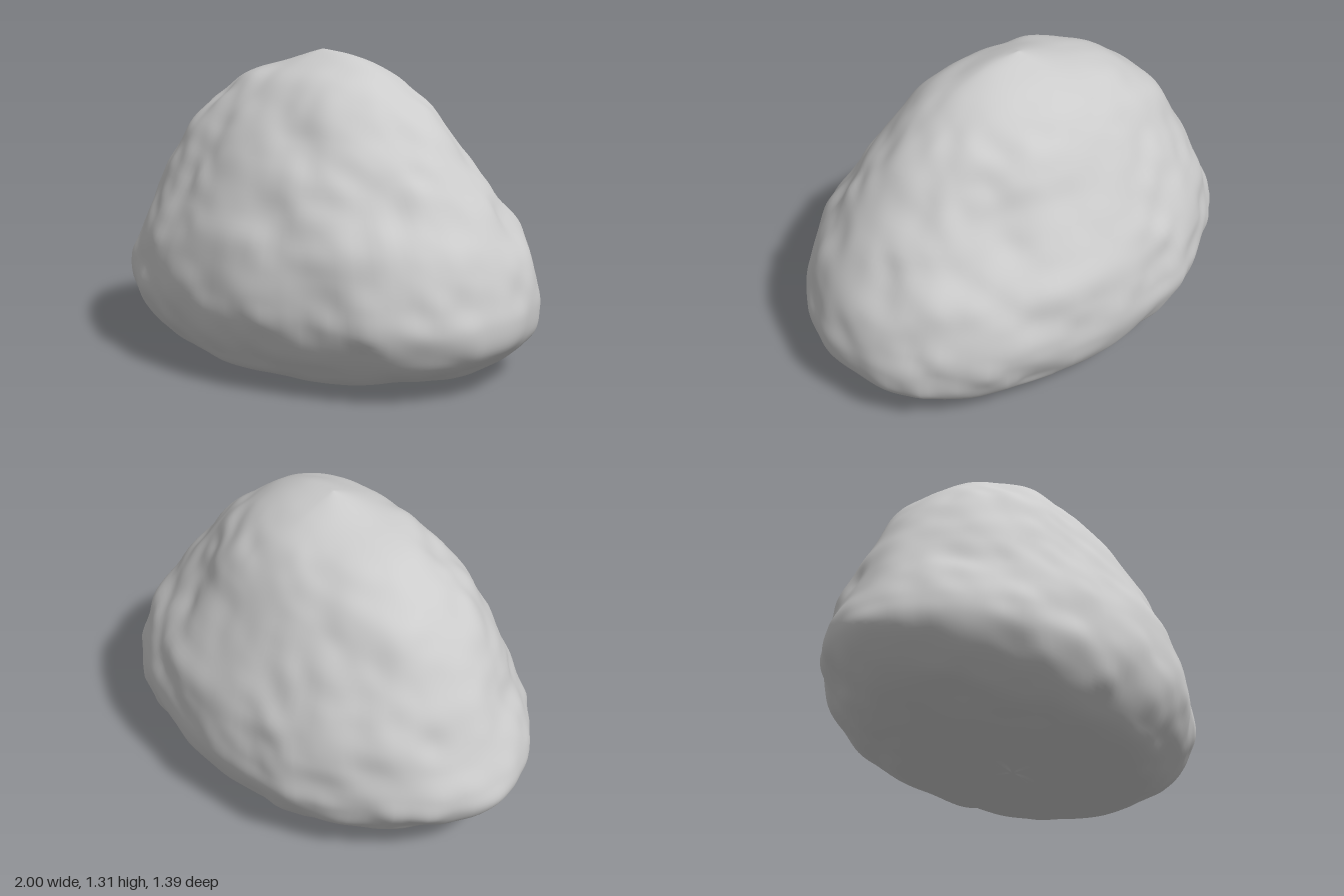
import * as THREE from 'three';

// Cross-sections from the underside to the peak: y, right-hand reach (-x), left-hand reach (+x), back reach (-z), front reach (+z)
const SECTIONS = [
  [0.015, 0, 0, 0, 0],
  [0.01, 0.25, 0.35, 0.2, 0.22],
  [0.018, 0.47, 0.66, 0.4, 0.43],
  [0.055, 0.64, 0.79, 0.52, 0.55],
  [0.12, 0.82, 0.9, 0.61, 0.61],
  [0.2, 0.925, 0.975, 0.66, 0.66],
  [0.3, 0.998, 1.0, 0.69, 0.69],
  [0.39, 0.99, 0.985, 0.69, 0.69],
  [0.5, 0.94, 0.95, 0.675, 0.67],
  [0.62, 0.88, 0.89, 0.645, 0.63],
  [0.76, 0.82, 0.79, 0.57, 0.565],
  [0.9, 0.73, 0.69, 0.49, 0.49],
  [1.0, 0.65, 0.6, 0.43, 0.43],
  [1.1, 0.54, 0.49, 0.37, 0.35],
  [1.19, 0.4, 0.38, 0.285, 0.26],
  [1.25, 0.2, 0.27, 0.18, 0.15],
  [1.29, 0.07, 0.15, 0.07, 0.06],
  [1.31, 0, 0, 0, 0],
];
// Fullness of the four corners, from front left round to back left
const CORNERS = [0.025, 0.005, -0.03, 0.055];
const RINGS = 100;
const SIDES = 144;

// Smooth value noise in -1..1
function hash(x, y, z) {
  let h = Math.imul(x, 374761393) + Math.imul(y, 668265263) + Math.imul(z, 1274126177);
  h = Math.imul(h ^ (h >>> 13), 1103515245);
  return (((h ^ (h >>> 16)) >>> 0) / 4294967295) * 2 - 1;
}
function noise(x, y, z) {
  const cell = [x, y, z].map(Math.floor);
  const f = [x, y, z].map((v, i) => {
    const t = v - cell[i];
    return t * t * (3 - 2 * t);
  });
  let sum = 0;
  for (let c = 0; c < 8; c++) {
    const o = [c & 1, (c >> 1) & 1, c >> 2];
    const w = o.reduce((p, b, i) => p * (b ? f[i] : 1 - f[i]), 1);
    sum += w * hash(cell[0] + o[0], cell[1] + o[1], cell[2] + o[2]);
  }
  return sum;
}

// Catmull-Rom blend between the cross-sections
function sectionAt(t) {
  const last = SECTIONS.length - 1;
  const s = t * last;
  const i = Math.min(Math.floor(s), last - 1);
  const u = s - i;
  const at = (k) => SECTIONS[Math.min(Math.max(k, 0), last)];
  return SECTIONS[0].map((_, n) => {
    const [a, b, c, d] = [at(i - 1)[n], at(i)[n], at(i + 1)[n], at(i + 2)[n]];
    return b + 0.5 * u * (c - a + u * (2 * a - 5 * b + 4 * c - d + u * (3 * (b - c) + d - a)));
  });
}

function rockPoint(t, angle) {
  const [y, right, left, back, front] = sectionAt(t);
  const { smoothstep } = THREE.MathUtils;
  const corner = CORNERS[Math.floor(angle / (Math.PI / 2))] * Math.sin(2 * angle) ** 2;
  const full = 1 + corner * (1 - smoothstep(y, 0.4, 0.9));
  const c = Math.cos(angle) * full, s = Math.sin(angle) * full;
  const p = new THREE.Vector3(c * (c > 0 ? left : right), y, s * (s > 0 ? front : back));
  // Lumps and dents along the outward direction, calmer near the peak and on the main outlines
  const bump = 0.018 * noise(p.x * 5 + 7, p.y * 5 + 2, p.z * 5 + 5)
    + 0.012 * noise(p.x * 10 + 31, p.y * 10 + 17, p.z * 10 + 11) - 0.004;
  const calm = (1 - 0.6 * Math.cos(2 * angle) ** 8) * (1 - smoothstep(y, 1.1, 1.31));
  const out = new THREE.Vector3(p.x, (p.y - 0.4) * 1.3, p.z * 1.8).normalize();
  p.addScaledVector(out, bump * calm);
  p.y = Math.max(p.y, 0);
  return p;
}

// Rings of points closed by one point underneath and one at the peak
function rockGeometry() {
  const positions = [], index = [];
  const add = (p) => positions.push(p.x, p.y, p.z);
  add(rockPoint(0, 0));
  for (let r = 1; r < RINGS; r++) {
    for (let k = 0; k < SIDES; k++) add(rockPoint(r / RINGS, (k / SIDES) * Math.PI * 2));
  }
  add(rockPoint(1, 0));

  const id = (r, k) => 1 + (r - 1) * SIDES + (k % SIDES);
  const peak = 1 + (RINGS - 1) * SIDES;
  for (let k = 0; k < SIDES; k++) {
    index.push(0, id(1, k), id(1, k + 1));
    for (let r = 1; r < RINGS - 1; r++) {
      index.push(id(r, k), id(r + 1, k), id(r + 1, k + 1), id(r, k), id(r + 1, k + 1), id(r, k + 1));
    }
    index.push(id(RINGS - 1, k), peak, id(RINGS - 1, k + 1));
  }
  const geometry = new THREE.BufferGeometry();
  geometry.setAttribute('position', new THREE.Float32BufferAttribute(positions, 3));
  geometry.setIndex(index);
  geometry.computeVertexNormals();
  return geometry;
}

export function createModel() {
  const group = new THREE.Group();
  group.name = 'boulder';
  const rock = new THREE.Mesh(rockGeometry(), new THREE.MeshStandardMaterial({ color: 0xcccccc }));
  rock.name = 'rock';
  group.add(rock);
  return group;
}
